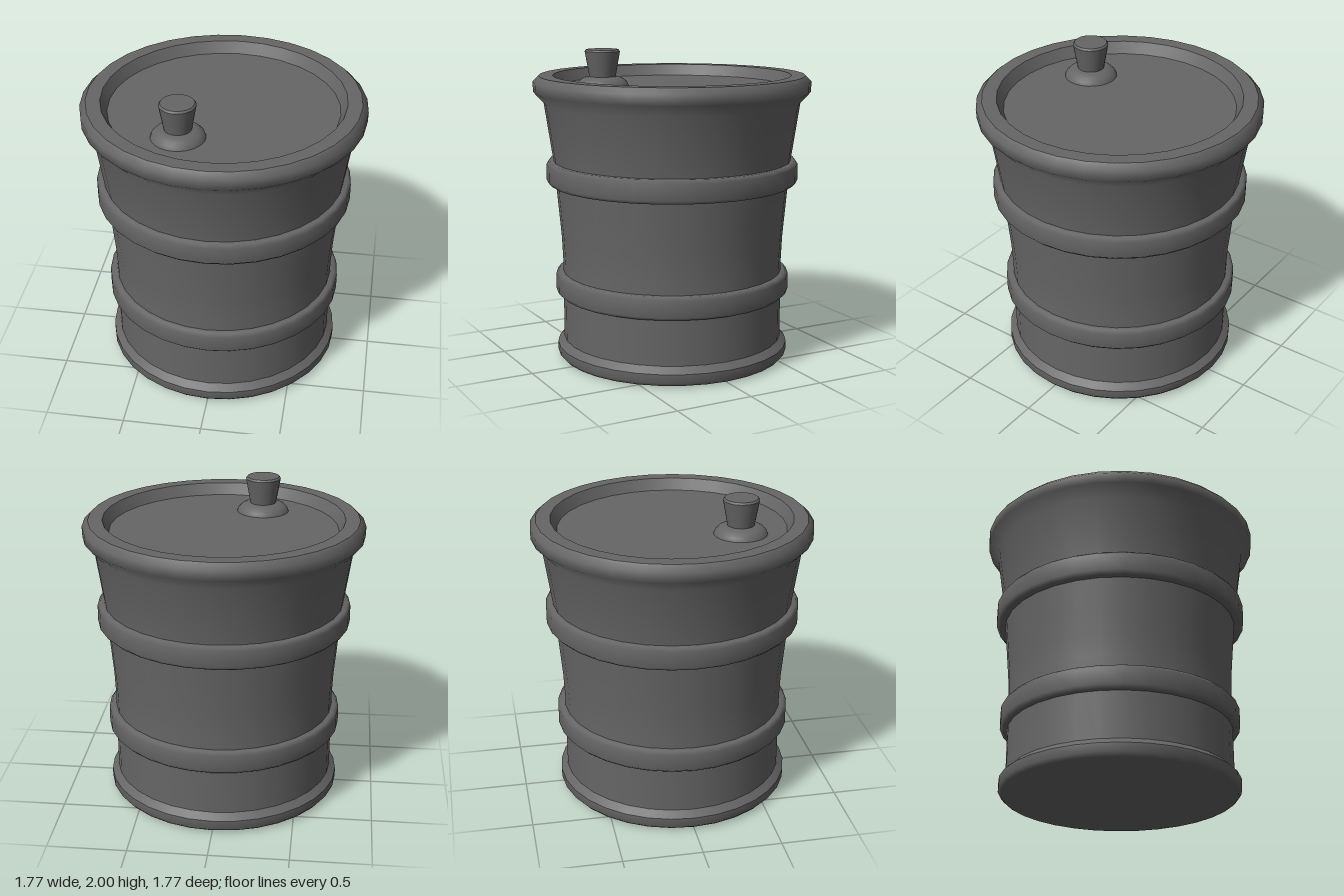
import * as THREE from 'three';

const SEGMENTS = 32;

export function createModel() {
  const barrel = new THREE.Group();
  barrel.name = 'barrel';
  const metal = new THREE.MeshStandardMaterial({ color: 0x666666 });
  metal.name = 'dark grey metal';

  // Turns [radius, height] points around the y axis; each part is smooth, with a crease where parts meet
  const turn = (name, points, parent = barrel, segments = SEGMENTS) => {
    const profile = points.map(([r, y]) => new THREE.Vector2(r, y));
    const mesh = new THREE.Mesh(new THREE.LatheGeometry(profile, segments), metal);
    mesh.name = name;
    parent.add(mesh);
    return mesh;
  };

  // Underside and foot ring
  turn('base', [[0, 0], [0.59, 0], [0.735, 0.012], [0.755, 0.035], [0.755, 0.09]]);
  turn('baseShoulder', [[0.755, 0.09], [0.713, 0.13]]);

  // Wall, narrow at the foot and flaring to the rim
  turn('wall', [
    [0.713, 0.13], [0.713, 0.64], [0.72, 0.8], [0.735, 0.97], [0.75, 1.14],
    [0.765, 1.3], [0.82, 1.67], [0.885, 1.74], [0.887, 1.805], [0.85, 1.842],
  ]);

  // Two raised hoops
  const hoop = (name, y, r, inner) => turn(name, [
    [inner, y], [r - 0.022, y], [r, y + 0.022], [r, y + 0.125], [r - 0.018, y + 0.148], [inner, y + 0.148],
  ]);
  hoop('lowerHoop', 0.427, 0.76, 0.705);
  hoop('upperHoop', 1.15, 0.81, 0.745);

  // Rim and sunken lid
  turn('rimTop', [[0.85, 1.842], [0.76, 1.842]]);
  turn('rimInside', [[0.76, 1.842], [0.72, 1.77]]);
  turn('lid', [[0.72, 1.77], [0, 1.77]]);

  // Off-centre bung with a domed collar and tapered plug
  const bung = new THREE.Group();
  bung.name = 'bung';
  bung.position.set(-0.217, 0, 0.388);
  barrel.add(bung);
  turn('collar', [[0.168, 1.768], [0.16, 1.79], [0.14, 1.81], [0.11, 1.825], [0.07, 1.83]], bung, 24);
  turn('plugSide', [[0.083, 1.82], [0.113, 1.988]], bung, 24);
  turn('plugEdge', [[0.113, 1.988], [0.103, 2]], bung, 24);
  turn('plugTop', [[0.103, 2], [0, 2]], bung, 24);

  return barrel;
}
